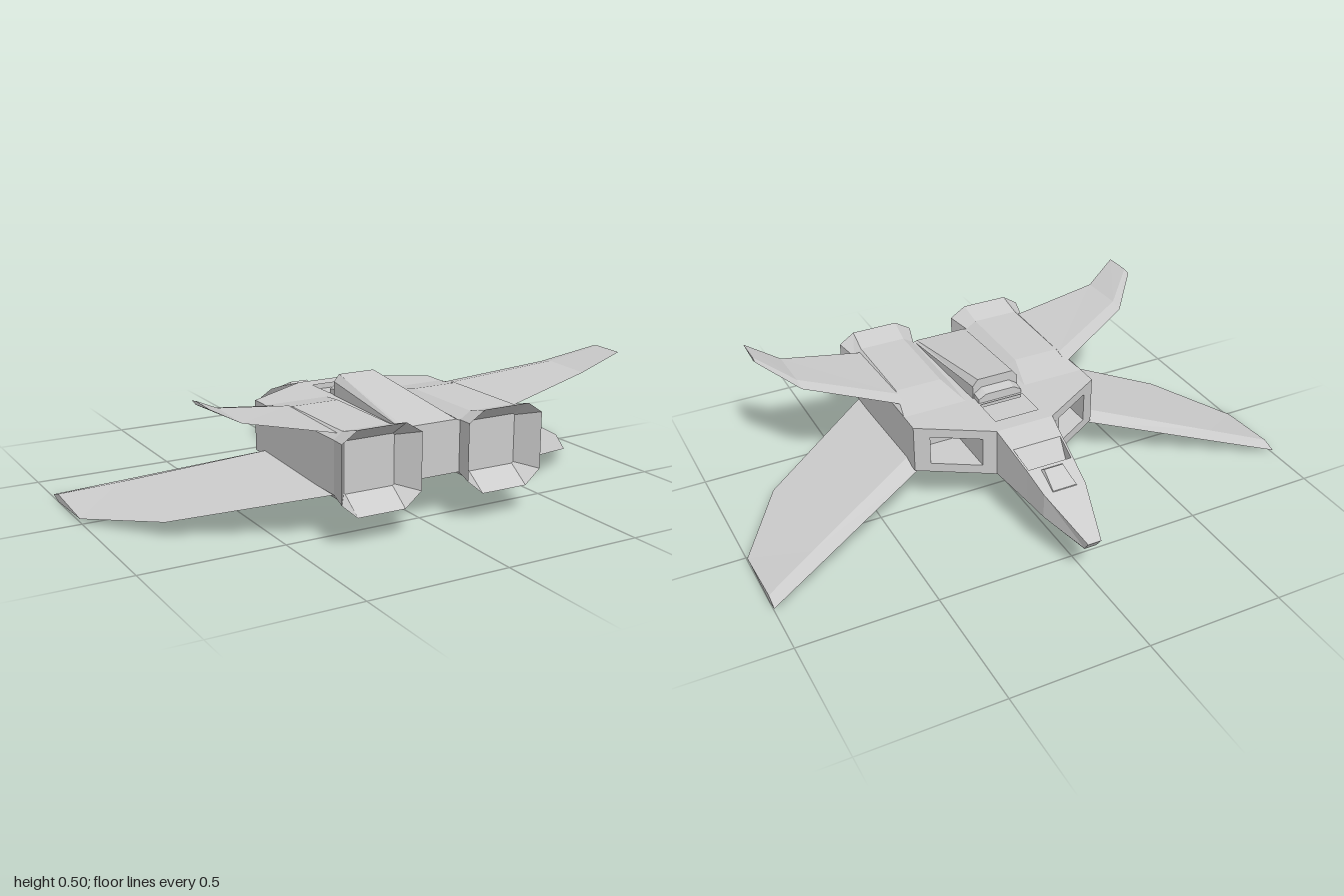
import * as THREE from 'three';

const grey = new THREE.MeshStandardMaterial({ color: 0xcccccc, flatShading: true });

function add(parent, name, geometry) {
  const mesh = new THREE.Mesh(geometry, grey);
  mesh.name = name;
  parent.add(mesh);
  return mesh;
}

// Closed skin through rings of [x, y, z] points, capped at both ends and turned outward
function loft(rings) {
  const tris = [];
  const n = rings[0].length;
  for (let r = 0; r < rings.length - 1; r++) {
    for (let i = 0; i < n; i++) {
      const j = (i + 1) % n;
      const [a, b, c, d] = [rings[r][i], rings[r][j], rings[r + 1][j], rings[r + 1][i]];
      tris.push([a, b, c], [a, c, d]);
    }
  }
  const first = rings[0], last = rings[rings.length - 1];
  for (let i = 1; i < n - 1; i++) {
    tris.push([first[0], first[i + 1], first[i]], [last[0], last[i], last[i + 1]]);
  }
  let volume = 0;
  for (const [a, b, c] of tris) {
    volume += a[0] * (b[1] * c[2] - b[2] * c[1]) + a[1] * (b[2] * c[0] - b[0] * c[2]) + a[2] * (b[0] * c[1] - b[1] * c[0]);
  }
  const corners = tris.flatMap(([a, b, c]) => (volume < 0 ? [a, c, b] : [a, b, c]));
  const geometry = new THREE.BufferGeometry();
  geometry.setAttribute('position', new THREE.Float32BufferAttribute(corners.flat(), 3));
  geometry.computeVertexNormals();
  return geometry;
}

// Horizontal slab from half a plan outline of [x, z] points, mirrored across x = 0
function slab(half, y0, y1, hole) {
  const full = [...half, ...half.map(([x, z]) => [-x, z]).reverse()];
  const toVec = ([x, z]) => new THREE.Vector2(x, -z);
  const shape = new THREE.Shape(full.map(toVec));
  if (hole) shape.holes.push(new THREE.Path(hole.map(toVec)));
  const geometry = new THREE.ExtrudeGeometry(shape, { depth: y1 - y0, bevelEnabled: false });
  return geometry.rotateX(-Math.PI / 2).translate(0, y0, 0);
}

// Symmetric ring from right-hand [x, y] points at a given z
const mirrorRing = (pts, z) => [...pts, ...pts.map(([x, y]) => [-x, y]).reverse()].map(([x, y]) => [x, y, z]);

// Eight-sided pod ring: outer and flat-face extents in x and y
const podRing = (s, z, x0, x1, fx0, fx1, y0, y1, fy0, fy1) => [
  [x0, y0], [fx0, fy0], [fx1, fy0], [x1, y0], [x1, y1], [fx1, fy1], [fx0, fy1], [x0, y1],
].map(([x, y]) => [s * x, y, z]);

// Wing section: leading edge, crest, trailing edge, underside
const wingRing = (s, x, lead, crest, trail, under) => [lead, crest, trail, under].map(([y, z]) => [s * x, y, z]);

function createHull() {
  const hull = new THREE.Group();
  hull.name = 'hull';
  const plan = [[0.11, -0.15], [0.36, 0], [0.36, 0.56]];
  const notched = [[0.11, -0.15], [0.152, -0.125], [0.152, 0.1], [0.31, 0.1], [0.31, -0.03], [0.36, 0], [0.36, 0.56]];
  const hatch = [[-0.085, -0.09], [0.085, -0.09], [0.085, 0.03], [-0.085, 0.03]];
  add(hull, 'hullFloor', slab(plan, 0.16, 0.195));
  add(hull, 'intakeLayer', slab(notched, 0.195, 0.305));
  add(hull, 'hullDeck', slab(plan, 0.305, 0.34, hatch));
  return hull;
}

function createNose() {
  // z, half width, top, lower side, bottom, bottom half width, cockpit floor (or top)
  const sections = [
    [-0.645, 0.025, 0.16, 0.13, 0.12, 0.02, 0.16],
    [-0.44, 0.08, 0.247, 0.155, 0.137, 0.055, 0.247],
    [-0.335, 0.09, 0.283, 0.158, 0.139, 0.06, 0.283],
    [-0.335, 0.09, 0.283, 0.158, 0.139, 0.06, 0.235],
    [-0.3, 0.094, 0.294, 0.158, 0.142, 0.065, 0.235],
    [-0.24, 0.1, 0.312, 0.16, 0.147, 0.075, 0.312],
    [-0.15, 0.11, 0.34, 0.162, 0.155, 0.09, 0.34],
  ];
  const rings = sections.map(([z, w, top, low, bottom, bw, floor]) => {
    const inner = w * 0.92;
    return mirrorRing([[bw, bottom], [w, low], [w, top], [inner, top], [inner, floor]], z);
  });
  // Rake the tip back towards its underside
  for (const p of rings[0]) p[2] += (0.16 - p[1]) * 0.75;
  return loft(rings);
}

export function createModel() {
  const model = new THREE.Group();
  model.name = 'spacecraft';
  model.add(createHull());
  add(model, 'nose', createNose());

  // Windscreen ahead of the open cockpit
  add(model, 'windscreen', loft([
    mirrorRing([[0.055, 0.22], [0.045, 0.251]], -0.44),
    mirrorRing([[0.065, 0.22], [0.036, 0.287]], -0.36),
    mirrorRing([[0.065, 0.22], [0.05, 0.262]], -0.32),
  ]));

  // Tapering spine and the small block at its foot
  add(model, 'spine', loft([
    mirrorRing([[0.09, 0.32], [0.09, 0.39], [0.07, 0.415]], 0.08),
    mirrorRing([[0.11, 0.32], [0.11, 0.34], [0.1, 0.344]], 0.56),
  ]));
  add(model, 'spineBlock', loft([
    mirrorRing([[0.085, 0.32], [0.085, 0.355], [0.055, 0.372]], 0.04),
    mirrorRing([[0.085, 0.32], [0.085, 0.36], [0.055, 0.38]], 0.08),
  ]));

  for (const [s, side] of [[1, 'left'], [-1, 'right']]) {
    // Engine pod with a flared, hollow nozzle
    add(model, side + 'Engine', loft([
      podRing(s, 0.08, 0.11, 0.36, 0.12, 0.35, 0.161, 0.339, 0.16, 0.34),
      podRing(s, 0.22, 0.115, 0.36, 0.155, 0.33, 0.16, 0.34, 0.132, 0.365),
      podRing(s, 0.56, 0.115, 0.36, 0.155, 0.33, 0.16, 0.34, 0.13, 0.365),
      podRing(s, 0.65, 0.09, 0.382, 0.15, 0.325, 0.155, 0.352, 0.105, 0.39),
      podRing(s, 0.57, 0.145, 0.33, 0.15, 0.325, 0.165, 0.33, 0.16, 0.335),
    ]));

    // Long lower wing, swept towards the nose and drooping
    add(model, side + 'LowerWing', loft([
      wingRing(s, 0.34, [0.155, 0.01], [0.18, 0.08], [0.16, 0.56], [0.142, 0.08]),
      wingRing(s, 0.81, [0.053, -0.217], [0.07, -0.155], [0.055, 0.26], [0.042, -0.155]),
      wingRing(s, 1, [0.012, -0.308], [0.028, -0.255], [0.012, -0.02], [0, -0.255]),
    ]));

    // Short upper wing with an upturned tip
    add(model, side + 'UpperWing', loft([
      wingRing(s, 0.33, [0.35, 0.14], [0.363, 0.2], [0.355, 0.55], [0.347, 0.2]),
      wingRing(s, 0.655, [0.422, 0.295], [0.433, 0.345], [0.427, 0.525], [0.415, 0.345]),
      wingRing(s, 0.775, [0.492, 0.43], [0.498, 0.46], [0.495, 0.568], [0.486, 0.46]),
    ]));
  }
  return model;
}
